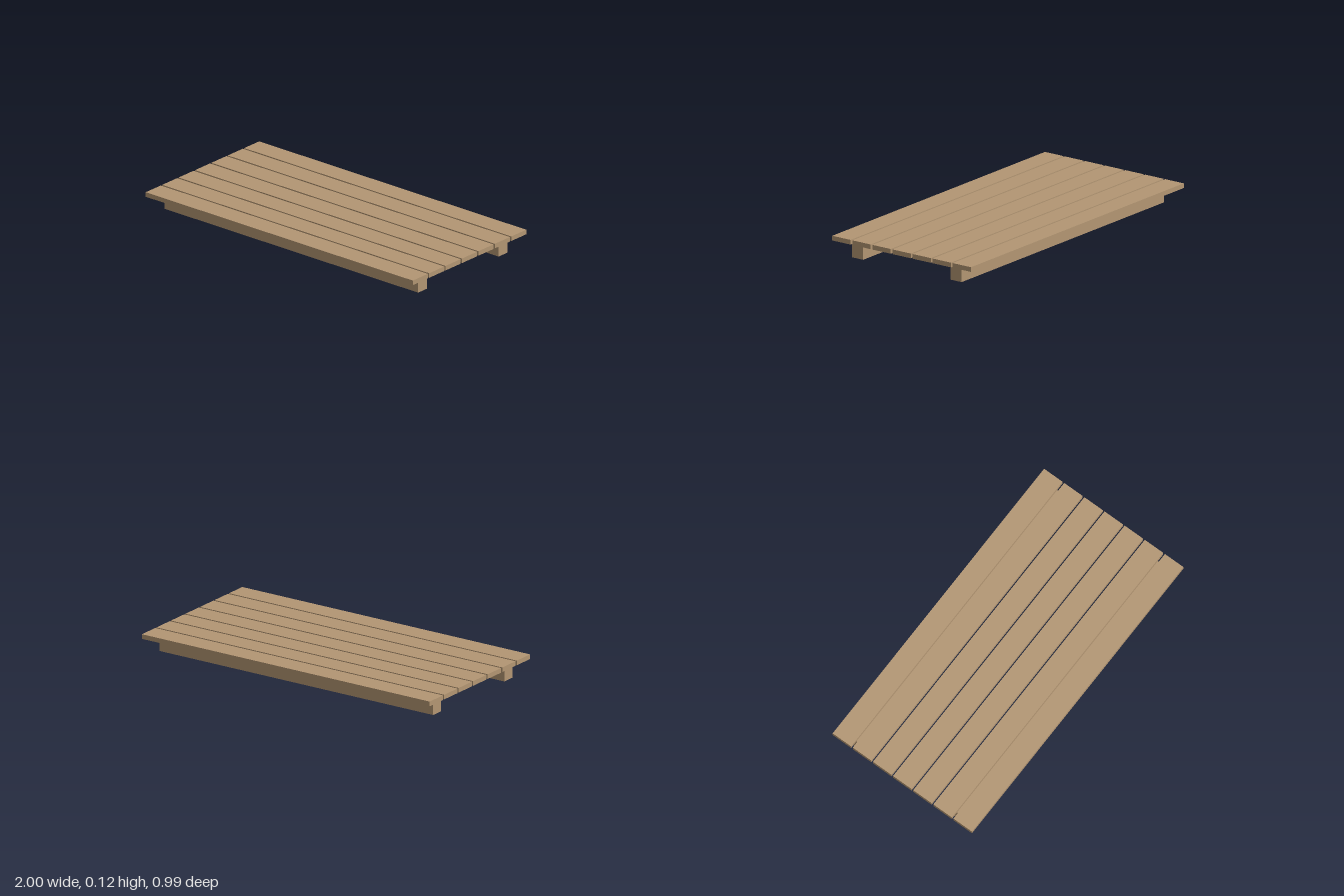
import * as THREE from 'three';

export function createModel() {
  const group = new THREE.Group();
  group.name = 'slattedPlatform';
  const wood = new THREE.MeshStandardMaterial({ color: 0xb39673 });
  wood.name = 'wood';

  function board(name, length, height, depth, y, z) {
    const mesh = new THREE.Mesh(new THREE.BoxGeometry(length, height, depth), wood);
    mesh.name = name;
    mesh.position.set(0, y, z);
    group.add(mesh);
  }

  const beamHeight = 0.093;
  const plankHeight = 0.028;

  // seven deck planks with narrow gaps
  for (let i = -3; i <= 3; i++) {
    board('plank' + (i + 4), 2, plankHeight, 0.131, beamHeight + plankHeight / 2, i * 0.143);
  }

  // two long support beams underneath
  board('frontBeam', 1.9, beamHeight, 0.078, beamHeight / 2, 0.351);
  board('backBeam', 1.9, beamHeight, 0.078, beamHeight / 2, -0.351);

  return group;
}
